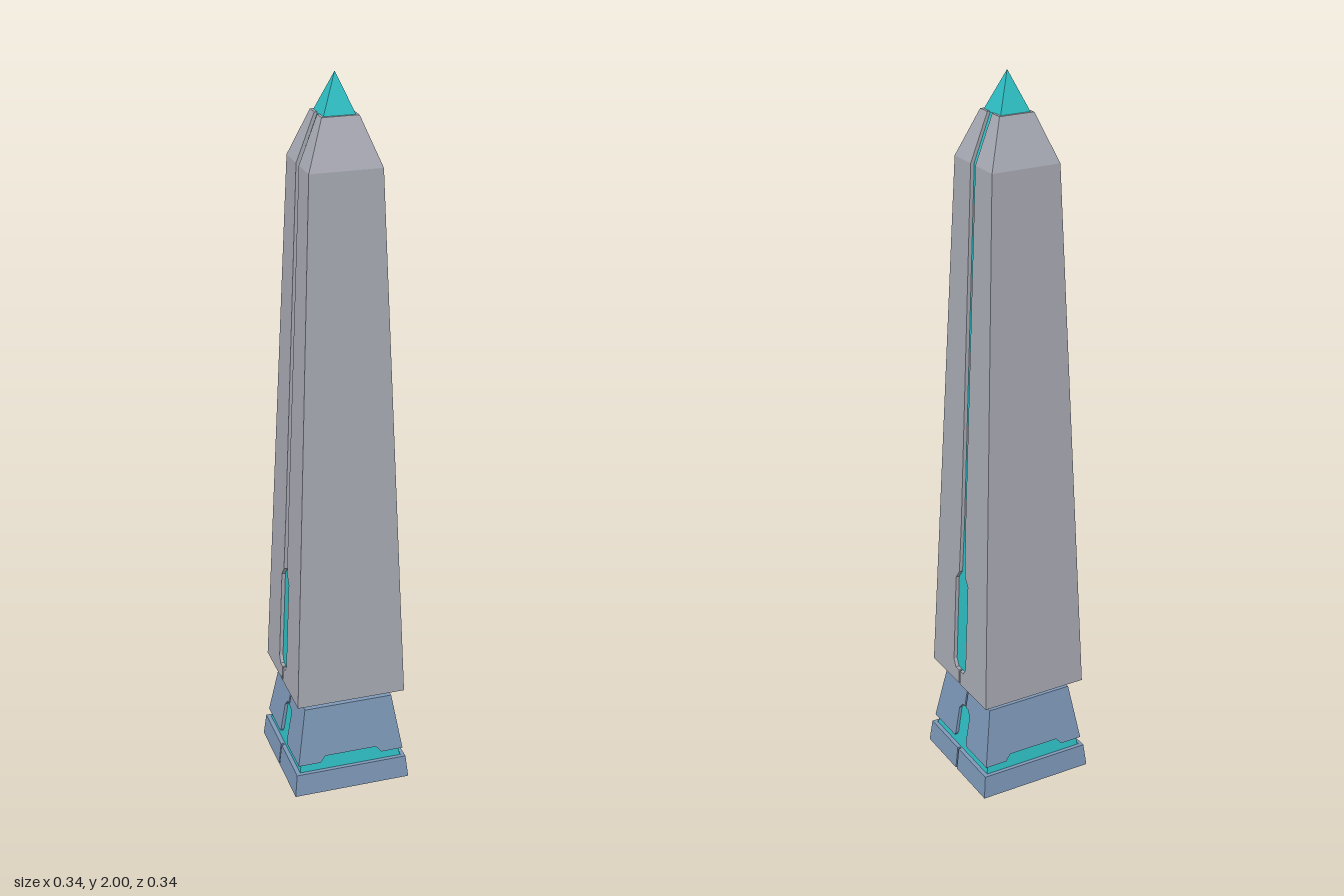
import * as THREE from 'three';

const make = (color) => new THREE.MeshStandardMaterial({ color, flatShading: true });

export function createModel() {
  const stone = make(0xa9abb5), blue = make(0x7d98b8), teal = make(0x2fbfc4);
  const model = new THREE.Group();
  const INSET = 0.01; // depth of the carved grooves
  const SEAM = 0.003; // half width of the seam down the sides

  // Closed square solid through levels of [half width, y]
  function solid(name, levels, mat) {
    const pts = [[0, levels[0][1]], ...levels, [0, levels[levels.length - 1][1]]]
      .map(([h, y]) => new THREE.Vector2(h * Math.SQRT2, y));
    const mesh = new THREE.Mesh(new THREE.LatheGeometry(pts, 4, Math.PI / 4), mat);
    mesh.name = name;
    model.add(mesh);
  }

  // Slab that leans with the taper and is mitred at the corners
  function panel(pts, half, mat, turn, name) {
    const shape = new THREE.Shape(pts.map(([u, y]) => new THREE.Vector2(u, y)));
    const geo = new THREE.ExtrudeGeometry(shape, { depth: INSET, bevelEnabled: false });
    const p = geo.attributes.position;
    for (let i = 0; i < p.count; i++) {
      const out = half(p.getY(i)) - INSET + p.getZ(i);
      p.setX(i, THREE.MathUtils.clamp(p.getX(i), -out, out));
      p.setZ(i, out);
    }
    geo.computeVertexNormals();
    const mesh = new THREE.Mesh(geo, mat);
    mesh.rotation.y = turn * Math.PI / 2;
    mesh.name = name;
    model.add(mesh);
  }

  // Four-sided cladding: whole panels front and back, split panels on the sides.
  // frontCut runs along the lower edge, sideCut runs up the inner edge.
  function cladding(name, [h0, y0], [h1, y1], mat, frontCut, sideCut) {
    const half = (y) => h0 + (h1 - h0) * (y - y0) / (y1 - y0);
    for (const turn of [0, 2]) {
      panel([[-h0, y0], ...frontCut, [h0, y0], [h1, y1], [-h1, y1]], half, mat, turn, name + 'Face');
    }
    for (const turn of [1, 3]) for (const s of [-1, 1]) {
      const outline = [...sideCut, [h1, y1], [h0, y0]];
      panel(outline.map(([u, y]) => [u * s, y]), half, mat, turn, name + 'Side');
    }
  }

  // Plinth with a seam in each side
  solid('plinthCore', [[0.158, 0], [0.152, 0.064]], blue);
  cladding('plinth', [0.168, 0], [0.161, 0.065], blue, [], [[SEAM, 0], [SEAM, 0.065]]);

  // Glowing band and the pedestal carved open above it
  solid('glowBand', [[0.149, 0.06], [0.1445, 0.09], [0.1265, 0.21]], teal);
  solid('pedestalCore', [[0.1265, 0.21], [0.118, 0.255]], blue);
  cladding('pedestal', [0.154, 0.09], [0.127, 0.255], blue,
    [[-0.09, 0.09], [-0.075, 0.108], [0.075, 0.108], [0.09, 0.09]],
    [[0.034, 0.09], [0.03, 0.1], [0.03, 0.18], [0.016, 0.198], [SEAM, 0.198], [SEAM, 0.255]]);

  // Shaft with its undercut foot and glowing core
  solid('shaftFoot', [[0.112, 0.255], [0.155, 0.283]], stone);
  solid('shaftCore', [[0.145, 0.283], [0.1435, 0.322]], stone);
  solid('glowCore', [[0.1435, 0.322], [0.087, 1.775], [0.04, 1.9]], teal);
  cladding('shaft', [0.155, 0.283], [0.097, 1.775], stone, [],
    [[SEAM, 0.283], [SEAM, 0.325], [0.022, 0.325], [0.034, 0.345], [0.034, 0.605],
      [0.016, 0.63], [0.012, 0.78], [0.012, 1.775]]);
  cladding('shoulder', [0.097, 1.775], [0.049, 1.9], stone, [], [[0.012, 1.775], [0.012, 1.9]]);

  // Pyramid tip
  solid('tip', [[0.043, 1.898], [0.0005, 2]], teal);
  return model;
}
